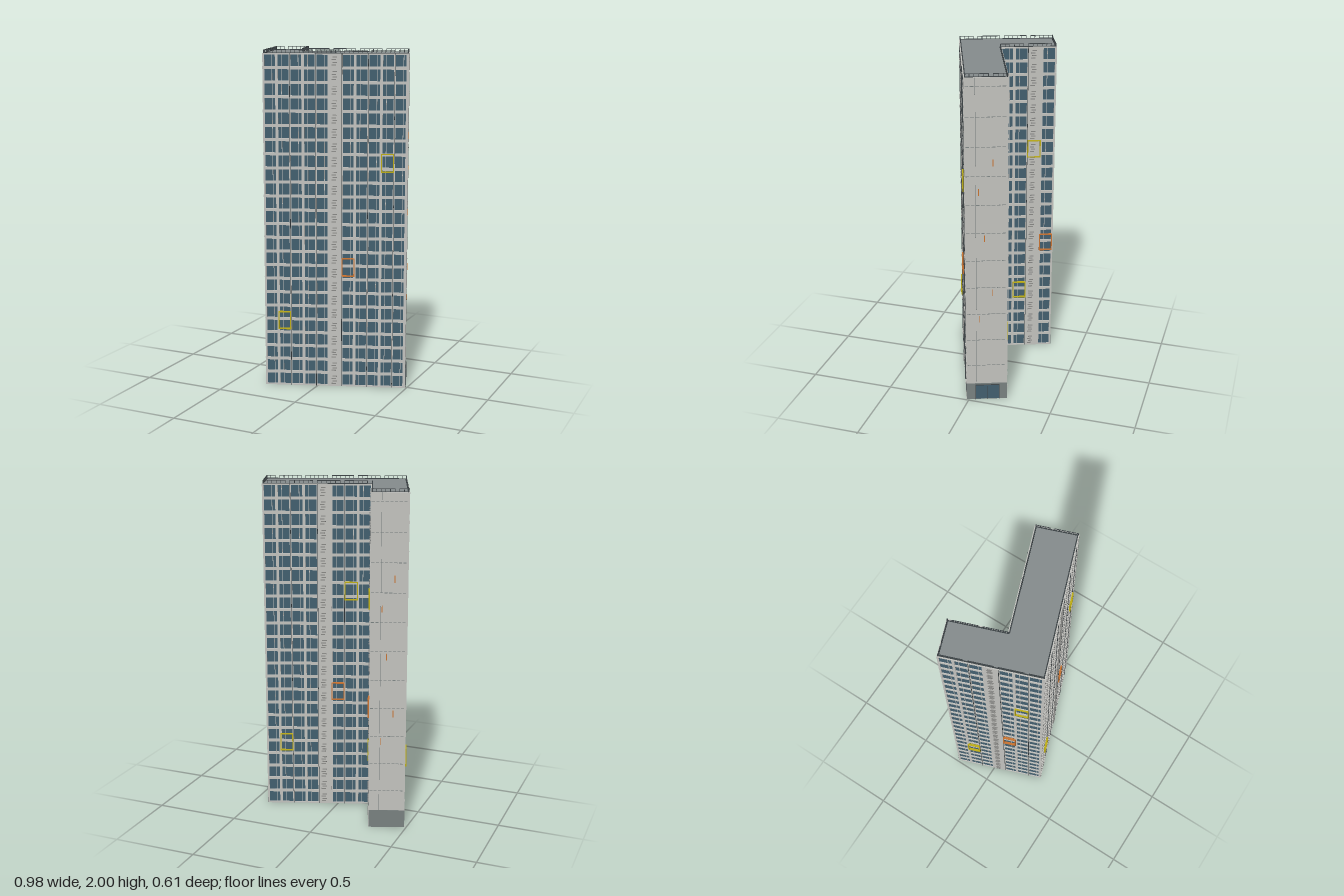
import * as THREE from 'three';
import { mergeGeometries } from 'three/addons/utils/BufferGeometryUtils.js';

const mat = (name, color) => Object.assign(new THREE.MeshStandardMaterial({ color }), { name });
const H = 1.98, FLOORS = 24, FH = H / FLOORS, T = 0.005;

// Box with its lower left back corner at x, y, z
function box(x, y, z, w, h, d) {
  return new THREE.BoxGeometry(w, h, d).translate(x + w / 2, y + h / 2, z + d / 2);
}

function addPart(parent, name, material, boxes) {
  const mesh = new THREE.Mesh(mergeGeometries(boxes), material);
  mesh.name = name;
  parent.add(mesh);
}

export function createModel() {
  const m = {
    wall: mat('pale concrete', 0xc4c4c0),
    glass: mat('blue glass', 0x436070),
    roof: mat('roof grey', 0x878d8e),
    base: mat('base grey', 0x7a8281),
    dark: mat('dark metal', 0x3e4548),
    louver: mat('louver grey', 0x8a8a87),
    yellow: mat('yellow', 0xc0b016),
    orange: mat('orange', 0xcc7430),
  };
  const model = new THREE.Group();
  model.name = 'apartmentTower';
  const tower = new THREE.Group();
  tower.name = 'tower';
  tower.position.set(-0.295, 0, 0.3);
  tower.rotation.y = THREE.MathUtils.degToRad(20);
  model.add(tower);

  // L-shaped glazed core with roof caps
  const plan = [[T, T], [0.832, T], [0.832, 0.236], [0.207, 0.236], [0.207, 0.56], [T, 0.56]];
  const shape = new THREE.Shape(plan.map(([x, y]) => new THREE.Vector2(x, y)));
  const bodyGeo = new THREE.ExtrudeGeometry(shape, { depth: H, bevelEnabled: false });
  bodyGeo.rotateX(-Math.PI / 2);
  const body = new THREE.Mesh(bodyGeo, [m.roof, m.glass]);
  body.name = 'glazedBody';
  tower.add(body);

  // Group whose x runs along a side and whose z points outward
  function side(name, i, turn) {
    const a = plan[i], b = plan[(i + 1) % plan.length];
    const g = new THREE.Group();
    g.name = name;
    g.position.set(a[0], 0, -a[1]);
    g.rotation.y = turn * Math.PI / 2;
    tower.add(g);
    return { g, len: Math.hypot(b[0] - a[0], b[1] - a[1]) };
  }

  // Parapet and railing along the roof edge
  function railing({ g, len }) {
    addPart(g, 'parapet', m.dark, [box(0, H, -0.006, len, 0.003, 0.006)]);
    const n = Math.round(len / 0.026), posts = [];
    for (let i = 0; i <= n; i++) posts.push(box(i * len / n - 0.0015, H, -0.004, 0.003, 0.02, 0.003));
    for (let i = 0; i < n; i++) {
      if (i % 6 !== 5) posts.push(box(i * len / n, 1.9965, -0.004, len / n, 0.0035, 0.003));
    }
    addPart(g, 'roofRailing', m.dark, posts);
  }

  // Projecting rectangular frame round a window bay
  function windowFrame(g, x, y, w, material) {
    const h = 0.11, t = 0.006, d = 0.014;
    addPart(g, 'windowSurround', material, [
      box(x, y, 0, w, t, d), box(x, y + h - t, 0, w, t, d),
      box(x, y, 0, t, h, d), box(x + w - t, y, 0, t, h, d),
    ]);
  }

  // Windowed side: floor bands, pillars, mullions, stair strip
  function facade(name, i, turn, bays, core, frames) {
    const s = side(name, i, turn), { g, len } = s, bw = len / bays;
    const bands = [], pillars = [], mullions = [], pipes = [], slats = [];
    for (let f = 0; f <= FLOORS; f++) {
      const y = f * FH;
      const y0 = Math.max(0, y - 0.008), y1 = Math.min(H, y + 0.009);
      bands.push(box(-T, y0, 0, len + 2 * T, y1 - y0, 0.006));
    }
    for (let b = 0; b <= bays; b++) {
      const w = b % 2 ? 0.016 : 0.011;
      const x = THREE.MathUtils.clamp(b * bw - w / 2, -T, len + T - w);
      pillars.push(box(x, 0, 0, w, H, T));
      if (b % 2 === 0 && b > 0 && b < bays) pipes.push(box(b * bw - 0.0015, 0, 0, 0.003, H, 0.008));
      if (b === bays || b === core) continue;
      mullions.push(box((b + (b % 2 ? 0.36 : 0.64)) * bw, 0, 0, 0.003, H, 0.003));
    }
    // Stair strip with louvers on every floor
    const cx = core * bw;
    for (let f = 0; f < FLOORS; f++) {
      for (let k = 0; k < 4; k++) {
        slats.push(box(cx + 0.016 + (k % 2) * 0.006, f * FH + 0.015 + k * 0.015, 0.005, 0.026, 0.005, 0.006));
      }
    }
    addPart(g, 'floorBands', m.wall, bands);
    addPart(g, 'pillars', m.wall, pillars);
    addPart(g, 'stairStrip', m.wall, [box(cx, 0, 0, bw, H, 0.0065)]);
    addPart(g, 'windowMullions', m.wall, mullions);
    addPart(g, 'drainPipes', m.dark, pipes);
    addPart(g, 'stairLouvers', m.louver, slats);
    frames.forEach(([b, y, c]) => windowFrame(g, b * bw, y, bw, c));
    railing(s);
  }

  // Blank concrete end wall with seams, markers and a base
  function endWall(name, i, turn, hasDoor) {
    const s = side(name, i, turn), { g, len } = s, seams = [];
    addPart(g, 'concreteWall', m.wall, [box(-T, 0, 0, len + 2 * T, H, T)]);
    addPart(g, 'wallBase', m.base, [box(-T, 0, T, len + 2 * T, 0.108, 0.002)]);
    for (let y = 0.23; y < H; y += 0.17) {
      for (let k = 0; k < 8; k++) seams.push(box(k * len / 8, y, T, len / 8 - 0.008, 0.003, 0.001));
    }
    seams.push(box(0.055, 0.108, T, 0.002, H - 0.108, 0.001));
    addPart(g, 'panelSeams', m.base, seams);
    const marks = [[0.64, 1.48], [0.3, 1.31], [0.44, 1.03], [0.64, 0.69], [0.3, 0.52]];
    addPart(g, 'wallMarkers', m.orange, marks.map(([fx, y]) => box(fx * len, y, T, 0.005, 0.04, 0.003)));
    if (hasDoor) {
      addPart(g, 'entranceGlass', m.glass, [box(0.05, 0.004, T, 0.138, 0.092, 0.004)]);
      addPart(g, 'entranceFrame', m.dark, [
        box(0.047, 0, T, 0.003, 0.099, 0.006), box(0.188, 0, T, 0.003, 0.099, 0.006),
        box(0.047, 0.096, T, 0.144, 0.003, 0.006), box(0.118, 0, T, 0.002, 0.096, 0.006),
      ]);
    }
    railing(s);
  }

  const { yellow: Y, orange: O } = m, low = 0.35, mid = 0.68, high = 1.3;
  facade('frontFacade', 0, 0, 11, 5, [[1, low, Y], [6, mid, O], [9, high, Y]]);
  endWall('entranceEndWall', 1, 1, true);
  facade('longRearFacade', 2, 2, 8, 4, [[1, low, Y], [5, mid, O], [6, high, Y]]);
  facade('innerWingFacade', 3, 1, 4, 2, [[1, low, Y], [2, high, Y], [3, mid, O]]);
  endWall('wingEndWall', 4, 2, false);
  facade('outerWingFacade', 5, -1, 7, 3, [[1, low, Y], [4, mid, O], [5, high, Y]]);
  return model;
}
